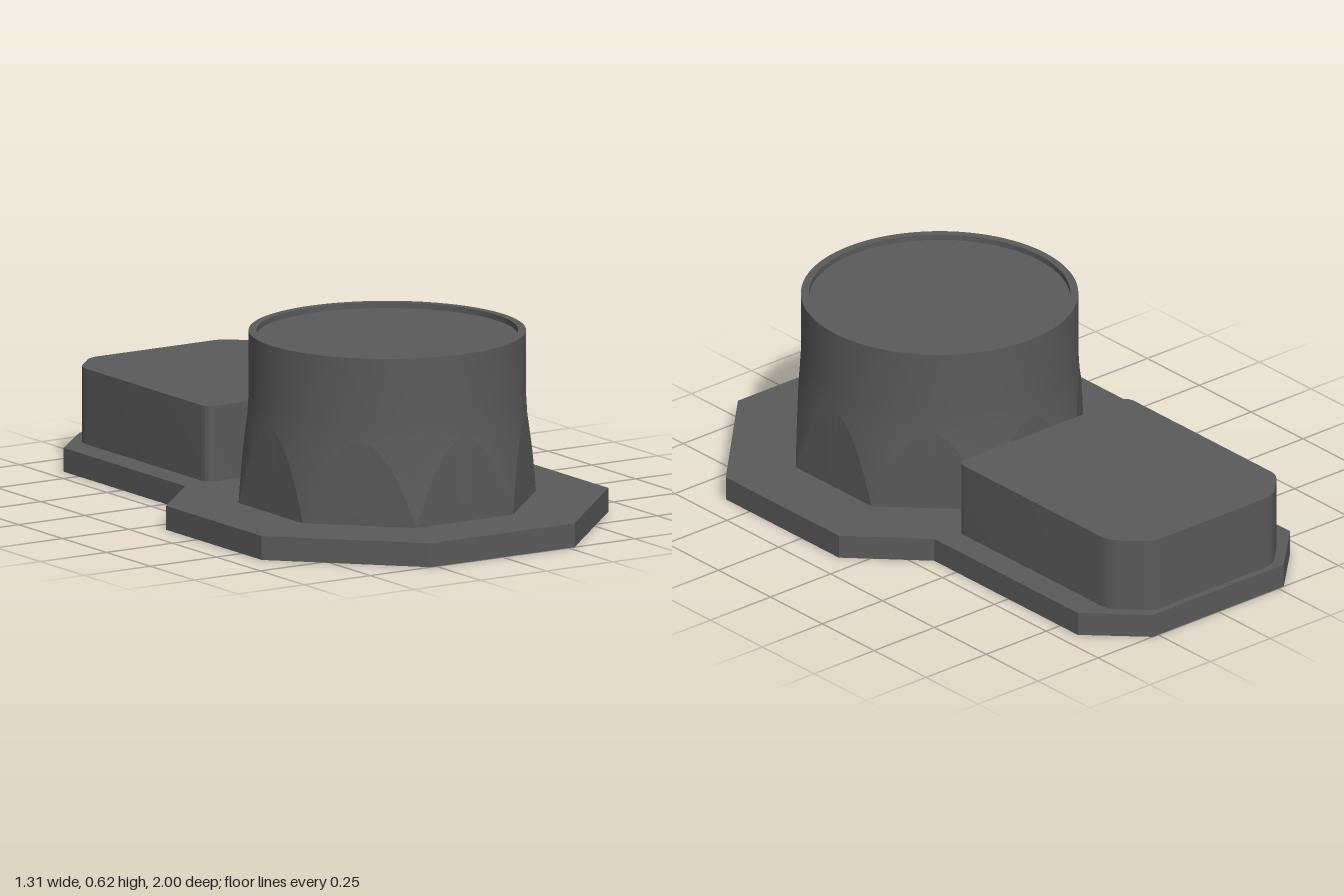
import * as THREE from 'three';
import { toCreasedNormals } from 'three/addons/utils/BufferGeometryUtils.js';

const material = new THREE.MeshStandardMaterial({ color: 0x5a5a5a });
const plateTop = 0.077;

function addPart(group, name, geometry) {
  const mesh = new THREE.Mesh(geometry, material);
  mesh.name = name;
  group.add(mesh);
  return mesh;
}

// Mirror a half outline; its y points to the back (-z)
function mirrored(half) {
  return [...half, ...half.map(([x, y]) => [-x, y]).reverse()].map(([x, y]) => new THREE.Vector2(x, y));
}

// Closed outline with every corner softened over a short distance
function softShape(points, radius) {
  const shape = new THREE.Shape();
  points.forEach((p, i) => {
    const prev = points.at(i - 1), next = points[(i + 1) % points.length];
    const a = p.clone().add(prev.clone().sub(p).setLength(radius));
    const b = p.clone().add(next.clone().sub(p).setLength(radius));
    if (i === 0) shape.moveTo(a.x, a.y);
    else shape.lineTo(a.x, a.y);
    shape.quadraticCurveTo(p.x, p.y, b.x, b.y);
  });
  shape.closePath();
  return shape;
}

// Extrude a plan outline upwards
function slab(shape, y0, y1) {
  const g = new THREE.ExtrudeGeometry(shape, { depth: y1 - y0, bevelEnabled: false, curveSegments: 8 });
  g.rotateX(-Math.PI / 2);
  g.translate(0, y0, 0);
  return toCreasedNormals(g, 0.5);
}

// Octagonal prism whose corners are trimmed by a cone, becoming a round tower
function towerGeometry() {
  const apothem = 0.441, corner = apothem / Math.cos(Math.PI / 8), blendTop = 0.345, top = 0.615;
  // Flat foot, arch line, end of cone, round wall, thin rim, shallow recessed top
  const profile = [
    [corner, plateTop], [corner, plateTop], [apothem, blendTop], [0.437, 0.41],
    [0.437, top], [0.412, top], [0.412, top - 0.018], [0, top - 0.018],
  ].map(([r, y]) => new THREE.Vector2(r, y));
  const g = new THREE.LatheGeometry(profile, 256);
  const p = g.attributes.position;
  for (let i = 0; i < p.count; i++) {
    const row = i % profile.length;
    if (row > 1) continue;
    // Pull the two lower rows onto the flats; lift the second to where flat meets cone
    const a = Math.atan2(p.getX(i), p.getZ(i)), step = Math.PI / 4;
    const r = apothem / Math.cos(a - Math.round(a / step) * step);
    const lift = row * (corner - r) / (corner - apothem);
    p.setXYZ(i, r * Math.sin(a), THREE.MathUtils.lerp(plateTop, blendTop, lift), r * Math.cos(a));
  }
  return toCreasedNormals(g, 0.1);
}

export function createModel() {
  const group = new THREE.Group();

  // Base plate: wide octagon in front running into a narrower chamfered rear
  const plate = mirrored([[0.272, -1], [0.655, -0.615], [0.655, -0.07], [0.442, 0.143], [0.442, 0.835], [0.272, 1]]);
  addPart(group, 'basePlate', slab(new THREE.Shape(plate), 0, plateTop));

  // Rear box: softened corners, chamfered at the back
  const box = mirrored([[0.353, 0.153], [0.353, 0.875], [0.25, 0.977]]);
  addPart(group, 'rearBox', slab(softShape(box, 0.035), plateTop, 0.32));

  // Front tower
  addPart(group, 'tower', towerGeometry()).position.z = 0.343;

  return group;
}
